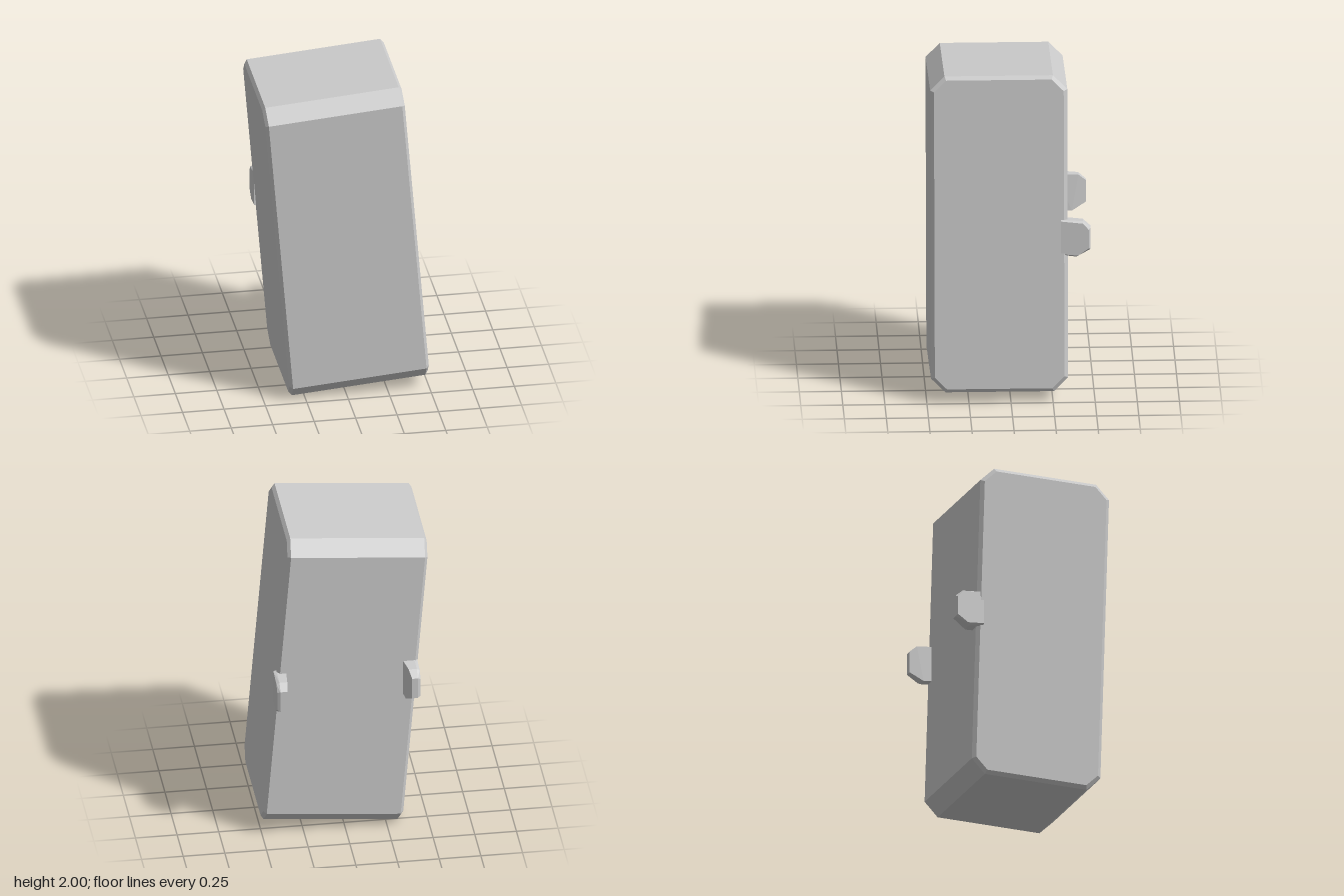
import * as THREE from 'three';
import { ConvexGeometry } from 'three/addons/geometries/ConvexGeometry.js';

const material = new THREE.MeshStandardMaterial({ color: 0xcccccc, flatShading: true });

// Leaning block: chamfered side profile extruded across the width, with a fine edge bevel
function makeBody() {
  const w = 0.843, h = 0.968, d = 0.4075, c = 0.085, bevel = 0.018;
  const profile = new THREE.Shape([
    [-d + c, -h], [d - c, -h], [d, -h + c], [d, h - c],
    [d - c, h], [-d + c, h], [-d, h - c], [-d, -h + c],
  ].map(([z, y]) => new THREE.Vector2(z, y)));
  const geometry = new THREE.ExtrudeGeometry(profile, {
    depth: w - 2 * bevel, bevelEnabled: true, bevelThickness: bevel,
    bevelSize: 0.022, bevelOffset: -0.022, bevelSegments: 1,
  });
  geometry.translate(0, 0, -(w - 2 * bevel) / 2);
  geometry.rotateY(-Math.PI / 2);
  const body = new THREE.Mesh(geometry, material);
  body.name = 'body';
  body.rotation.z = 0.083;
  body.position.set(0, 1, 0.0675);
  return body;
}

// Faceted lug: an outer and an inner outline joined into one convex stone-like peg
function makeLug(name, side, baseInner, tipInner, lift) {
  const outer = [[-0.3, 0.91], [-0.4, 0.9], [-0.465, 0.945], [-0.465, 1.06], [-0.43, 1.1], [-0.3, 1.115]];
  const inner = [[-0.3, 0.9], [-0.39, 0.888], [-0.475, 0.935], [-0.475, 1.07], [-0.43, 1.11], [-0.3, 1.12]];
  const points = [];
  for (const [z, y] of outer) points.push(new THREE.Vector3(side * 0.43, y + lift, z));
  for (const [z, y] of inner) {
    const t = (-0.34 - z) / 0.135;
    const x = THREE.MathUtils.lerp(baseInner, tipInner, Math.max(t, 0));
    points.push(new THREE.Vector3(side * x, y + lift, z));
    points.push(new THREE.Vector3(side * 0.412, y + lift, z));
  }
  const lug = new THREE.Mesh(new ConvexGeometry(points), material);
  lug.name = name;
  return lug;
}

export function createModel() {
  const group = new THREE.Group();
  group.name = 'leaningBlock';
  group.add(
    makeBody(),
    makeLug('leftLug', 1, 0.355, 0.37, 0),
    makeLug('rightLug', -1, 0.335, 0.378, 0.025),
  );
  return group;
}
